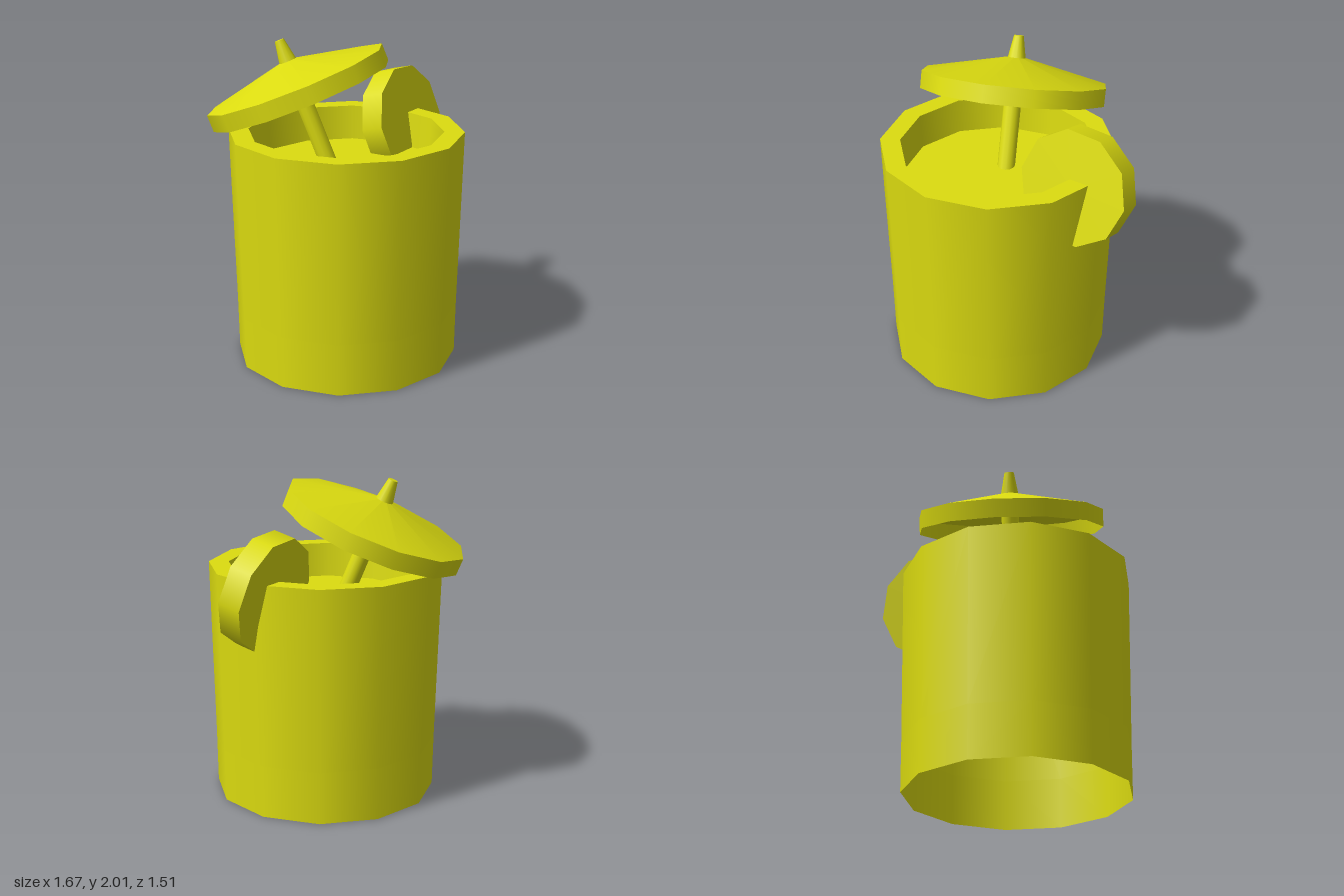
import * as THREE from 'three';

export function createModel() {
  const model = new THREE.Group();
  const yellow = new THREE.MeshStandardMaterial({ color: 0xdcdc10, side: THREE.DoubleSide });
  yellow.name = 'yellow';

  const add = (parent, name, geometry, y = 0) => {
    const mesh = new THREE.Mesh(geometry, yellow);
    mesh.name = name;
    mesh.position.y = y;
    parent.add(mesh);
    return mesh;
  };
  const tube = (top, bottom, height, sides = 12, open = true) =>
    new THREE.CylinderGeometry(top, bottom, height, sides, 1, open);

  // Tumbler: open-bottomed outer wall, flat rim, inner wall and drink surface
  const tumbler = new THREE.Group();
  tumbler.name = 'tumbler';
  tumbler.position.set(-0.063, 0, 0.025);
  model.add(tumbler);
  add(tumbler, 'lowerWall', tube(0.703, 0.698, 0.33), 0.165);
  add(tumbler, 'upperWall', tube(0.73, 0.703, 1.13), 0.895);
  add(tumbler, 'rim', new THREE.RingGeometry(0.605, 0.73, 12).rotateX(-Math.PI / 2), 1.46);
  add(tumbler, 'innerWall', tube(0.605, 0.59, 0.22), 1.35);
  add(tumbler, 'drinkSurface', new THREE.CircleGeometry(0.59, 12).rotateX(-Math.PI / 2), 1.24);

  // Parasol leaning back and to the side, hollow underneath
  const parasol = new THREE.Group();
  parasol.name = 'parasol';
  parasol.position.set(-0.285, 1.705, -0.19);
  const lean = new THREE.Vector3(-0.31, 1, -0.26).normalize();
  parasol.quaternion.setFromUnitVectors(new THREE.Vector3(0, 1, 0), lean);
  model.add(parasol);
  add(parasol, 'canopyBand', tube(0.585, 0.585, 0.11)).rotation.y = Math.PI / 12;
  add(parasol, 'canopy', tube(0, 0.585, 0.135), 0.1225).rotation.y = Math.PI / 12;
  add(parasol, 'pole', tube(0.055, 0.055, 0.77), -0.215);
  add(parasol, 'poleTip', tube(0.03, 0.058, 0.15, 12, false), 0.238);

  // Fruit slice straddling the rim
  const facing = new THREE.Vector3(0.49, 0.236, 0.838).normalize();
  const corner = new THREE.Vector3(0.335, -0.02, -0.175).projectOnPlane(facing).normalize();
  const across = new THREE.Vector3().crossVectors(facing, corner);
  const slice = add(model, 'fruitSlice', tube(0.358, 0.358, 0.148, 10, false));
  slice.position.set(0.476, 1.392, -0.247);
  slice.quaternion.setFromRotationMatrix(new THREE.Matrix4().makeBasis(across, facing, corner));

  return model;
}
